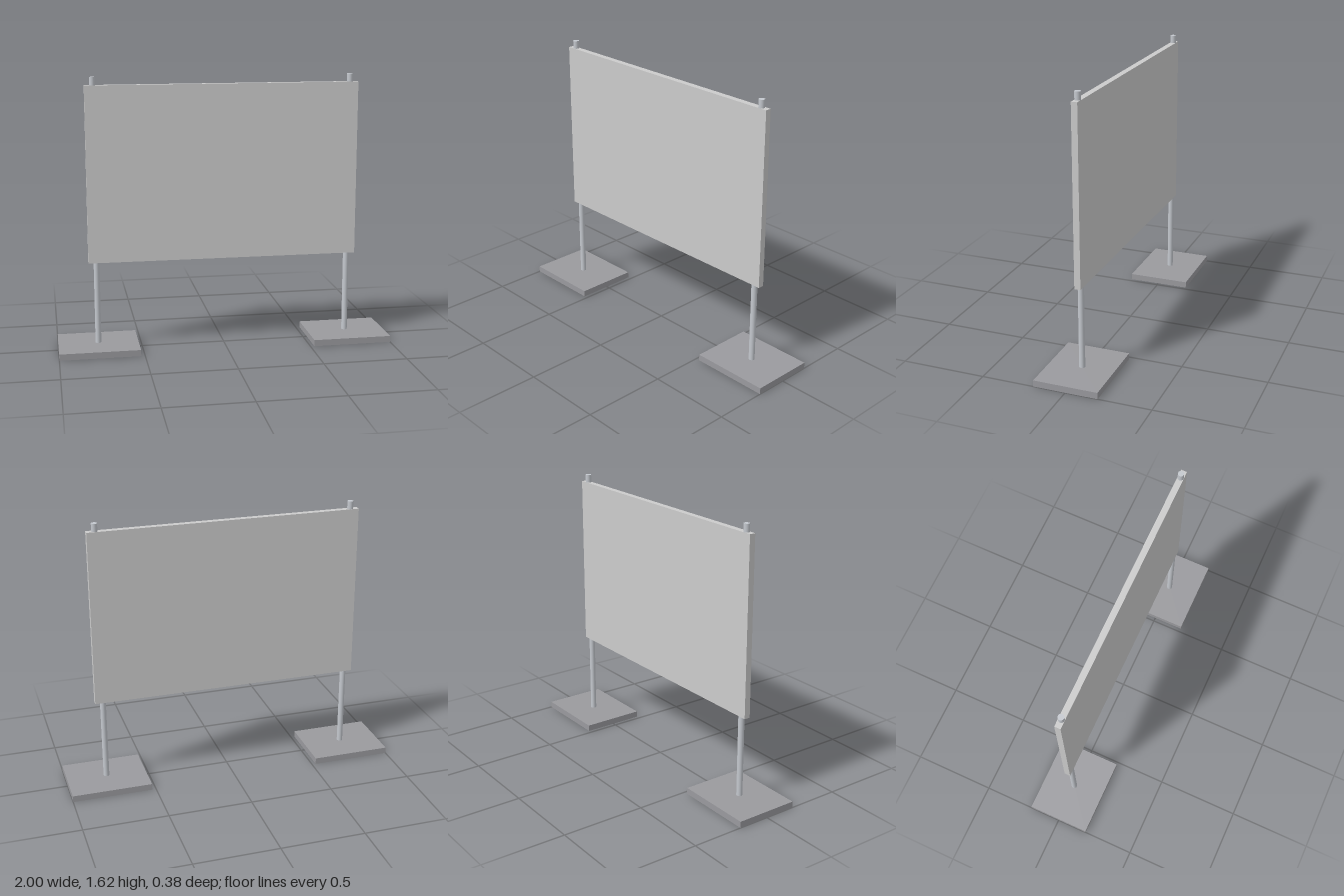
import * as THREE from 'three';

export function createModel() {
  const group = new THREE.Group();
  const panelMat = new THREE.MeshStandardMaterial({ color: 0xcccccc });
  const poleMat = new THREE.MeshStandardMaterial({ color: 0xc4c8ce });
  const baseMat = new THREE.MeshStandardMaterial({ color: 0x9a9a9e });

  const add = (name, geometry, material, x, y) => {
    const mesh = new THREE.Mesh(geometry, material);
    mesh.name = name;
    mesh.position.set(x, y, 0);
    group.add(mesh);
  };

  // flat display board
  add('panel', new THREE.BoxGeometry(1.62, 1.045, 0.036), panelMat, 0, 1.0525);

  // each side: a pole through the board, standing on a plate
  const poleBottom = 0.002, poleTop = 1.622;
  for (const [side, s] of [['left', 1], ['right', -1]]) {
    add(side + 'Pole', new THREE.CylinderGeometry(0.0175, 0.0175, poleTop - poleBottom, 32),
      poleMat, s * 0.762, (poleTop + poleBottom) / 2);
    add(side + 'BasePlate', new THREE.BoxGeometry(0.476, 0.038, 0.38), baseMat, s * 0.762, 0.019);
  }
  return group;
}
